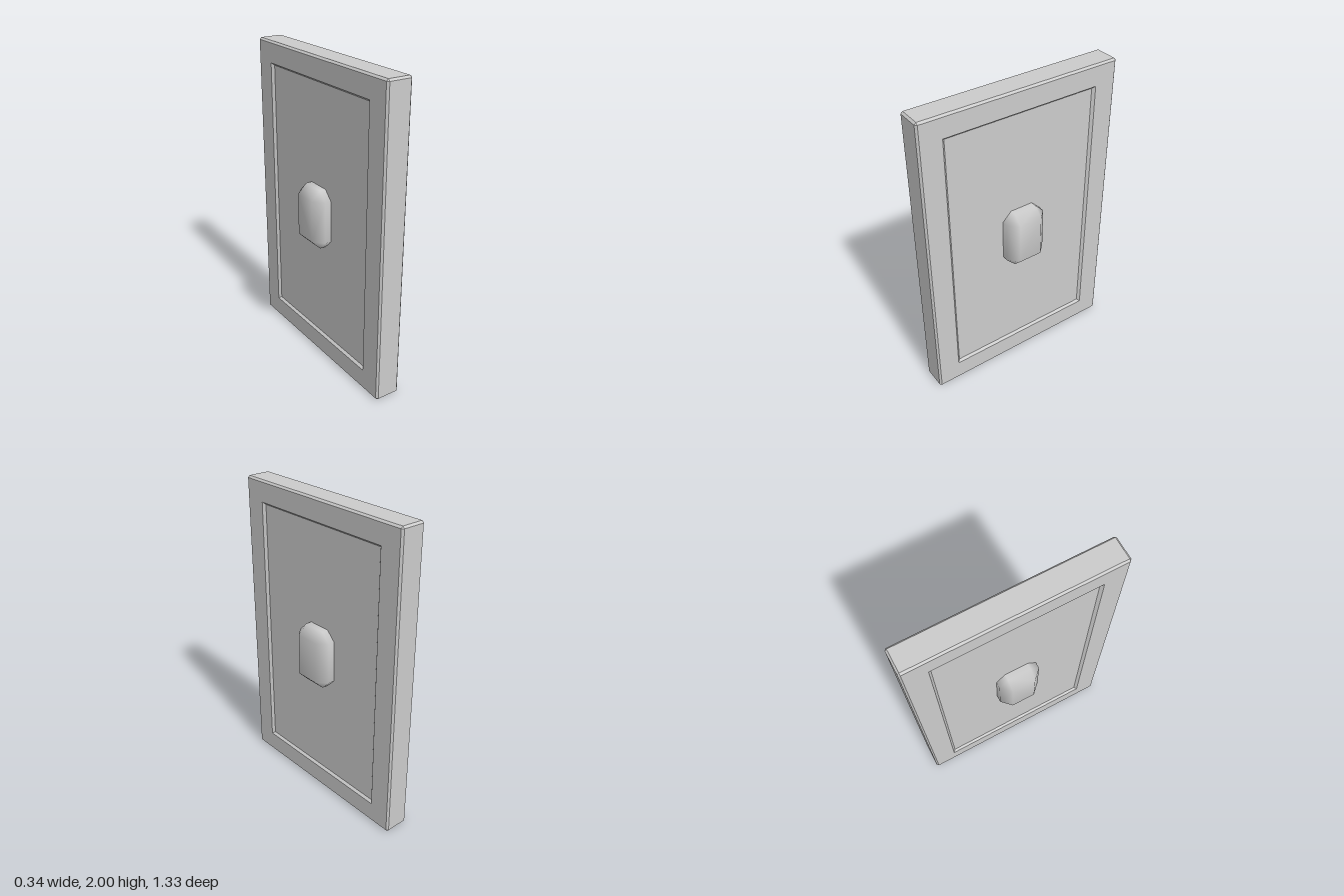
import * as THREE from 'three';
import { mergeVertices } from 'three/addons/utils/BufferGeometryUtils.js';
import { ConvexGeometry } from 'three/addons/geometries/ConvexGeometry.js';

const material = new THREE.MeshStandardMaterial({ color: 0xcccccc });
const flatMaterial = new THREE.MeshStandardMaterial({ color: 0xcccccc, flatShading: true });

// Rectangle in the zy plane at x, with its corners cut by c (eight points, paired when c is 0)
function ring([x, hz, hy, c]) {
  return [
    [hz, hy - c], [hz - c, hy], [-hz + c, hy], [-hz, hy - c],
    [-hz, -hy + c], [-hz + c, -hy], [hz - c, -hy], [hz, -hy + c],
  ].map(([z, y]) => new THREE.Vector3(x, y, z));
}

// Skins a row of rings running from +x to -x and closes both ends
function loft(sections) {
  const rings = sections.map(ring);
  const out = [];
  const tri = (a, b, c) => {
    const area = b.clone().sub(a).cross(c.clone().sub(a)).length();
    if (area > 1e-9) for (const p of [a, b, c]) out.push(p.x, p.y, p.z);
  };
  for (let r = 0; r + 1 < rings.length; r++) {
    const A = rings[r], B = rings[r + 1];
    for (let i = 0; i < 8; i++) {
      const j = (i + 1) % 8;
      tri(A[i], B[j], B[i]);
      tri(A[i], A[j], B[j]);
    }
  }
  const first = rings[0], last = rings[rings.length - 1];
  for (let i = 1; i < 7; i++) {
    tri(first[0], first[i + 1], first[i]);
    tri(last[0], last[i], last[i + 1]);
  }
  const geometry = new THREE.BufferGeometry();
  geometry.setAttribute('position', new THREE.Float32BufferAttribute(out, 3));
  geometry.computeVertexNormals();
  return geometry;
}

// Box with one-step chamfers and soft shared normals
function softChamferBox(hx, hy, hz, c) {
  const points = [];
  for (const sx of [-1, 1]) for (const sy of [-1, 1]) for (const sz of [-1, 1]) {
    points.push(
      new THREE.Vector3(sx * hx, sy * (hy - c), sz * (hz - c)),
      new THREE.Vector3(sx * (hx - c), sy * hy, sz * (hz - c)),
      new THREE.Vector3(sx * (hx - c), sy * (hy - c), sz * hz),
    );
  }
  const hull = new ConvexGeometry(points);
  hull.deleteAttribute('normal');
  const geometry = mergeVertices(hull, 1e-4);
  geometry.computeVertexNormals();
  return geometry;
}

export function createModel() {
  const model = new THREE.Group();
  model.name = 'panelDoor';

  // Door slab: recessed panel, sloped step, frame face, chamfered rim, mirrored to the other side
  const half = [
    [0.067, 0.501, 0.848, 0],
    [0.083, 0.517, 0.862, 0],
    [0.083, 0.654, 0.988, 0],
    [0.071, 0.666, 1.0, 0.012],
  ];
  const mirrored = half.map(([x, ...rest]) => [-x, ...rest]).reverse();
  const slab = new THREE.Mesh(loft([...half, ...mirrored]), flatMaterial);
  slab.name = 'doorSlab';
  slab.position.y = 1;
  model.add(slab);

  // Handle block passing through both faces
  const handle = new THREE.Mesh(softChamferBox(0.168, 0.196, 0.137, 0.06), material);
  handle.name = 'handle';
  handle.position.y = 1.003;
  model.add(handle);

  return model;
}
